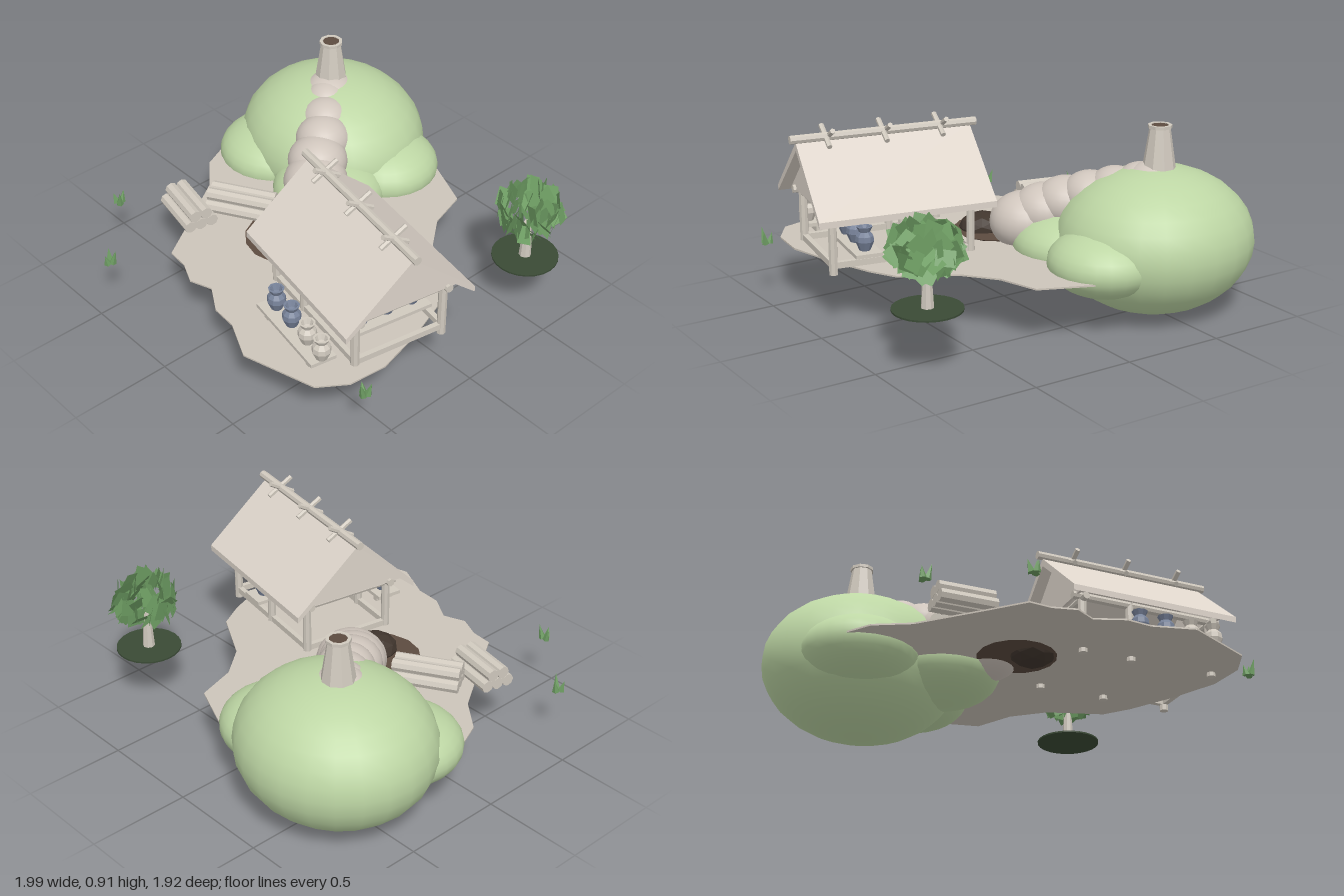
import * as THREE from 'three';

const mat = (name, color, extra = {}) => Object.assign(new THREE.MeshStandardMaterial({ color, ...extra }), { name });
const flat = { flatShading: true };
const M = {
  grass: mat('mossGreen', 0xbdd6a4),
  stone: mat('paleStone', 0xd0c6bd),
  earth: mat('packedEarth', 0xccc4b9, flat),
  wood: mat('paleWood', 0xd0c9be, flat),
  thatch: mat('thatch', 0xddd4ca, flat),
  brown: mat('darkSoil', 0x5c4b3f, flat),
  pit: mat('charcoal', 0x41362e, flat),
  blue: mat('slateClay', 0x78839a, flat),
  leaf: mat('leafGreen', 0x6d9c62, { flatShading: true, side: THREE.DoubleSide }),
  shade: mat('deepGreen', 0x3a4a35, flat),
};
const GROUND = 0.285;

let seed = 7;
const rnd = () => (seed = (seed * 16807) % 2147483647) / 2147483647;

function add(parent, name, geo, material, x = 0, y = 0, z = 0) {
  const m = new THREE.Mesh(geo, material);
  m.name = name;
  m.position.set(x, y, z);
  parent.add(m);
  return m;
}
function blob(parent, name, material, [x, y, z], [rx, ry, rz]) {
  return add(parent, name, new THREE.SphereGeometry(1, 24, 16).scale(rx, ry, rz), material, x, y, z);
}
// Round pole between two points
function pole(parent, name, a, b, r, sides = 8) {
  const p = new THREE.Vector3(...a), q = new THREE.Vector3(...b), d = q.clone().sub(p);
  const m = add(parent, name, new THREE.CylinderGeometry(r, r, d.length(), sides), M.wood);
  m.position.copy(p).add(q).multiplyScalar(0.5);
  m.quaternion.setFromUnitVectors(new THREE.Vector3(0, 1, 0), d.normalize());
  return m;
}
function group(parent, name, x = 0, y = 0, z = 0, ry = 0) {
  const g = new THREE.Group();
  g.name = name;
  g.position.set(x, y, z);
  g.rotation.y = ry;
  parent.add(g);
  return g;
}

// Irregular thin ground sheet
function buildGround(root) {
  const outline = [[0, -0.76], [0.26, -0.65], [0.32, -0.45], [0.44, -0.3], [0.69, -0.16], [0.76, -0.03],
    [0.84, 0.2], [0.9, 0.45], [0.88, 0.64], [0.79, 0.77], [0.43, 0.87], [0.24, 0.78], [0.11, 0.77], [-0.02, 0.69],
    [-0.13, 0.73], [-0.24, 0.68], [-0.35, 0.67], [-0.45, 0.51], [-0.65, 0.2], [-0.8, 0.08], [-0.87, -0.08],
    [-0.75, -0.4], [-0.4, -0.7]].map(([x, z]) => new THREE.Vector2(x, -z));
  const shape = new THREE.Shape(outline);
  shape.holes.push(new THREE.Path().absarc(-0.07, -0.17, 0.19, 0, Math.PI * 2, true));
  const geo = new THREE.ExtrudeGeometry(shape, { depth: 0.008, bevelEnabled: false, curveSegments: 8 });
  add(root, 'ground', geo.rotateX(-Math.PI / 2), M.earth, 0, GROUND - 0.004, 0);
  add(root, 'soilPatch', new THREE.CylinderGeometry(0.215, 0.2, 0.012, 14), M.brown, -0.07, GROUND + 0.004, 0.17);
  add(root, 'firePit', new THREE.IcosahedronGeometry(1, 1).scale(0.115, 0.07, 0.11), M.pit, -0.01, 0.305, 0.21);
}

// Mossy dome with side lobes, stepped tunnel and chimney
function buildDome(root) {
  const g = group(root, 'domeHouse');
  blob(g, 'dome', M.grass, [-0.515, 0.35, -0.515], [0.485, 0.35, 0.455]);
  blob(g, 'leftLobe', M.grass, [-0.67, 0.3, -0.25], [0.28, 0.16, 0.28]);
  blob(g, 'frontLobe', M.grass, [-0.23, 0.3, -0.23], [0.28, 0.16, 0.28]);
  blob(g, 'sideLobe', M.grass, [-0.18, 0.31, -0.57], [0.27, 0.16, 0.27]);
  blob(g, 'chimneyCollar', M.stone, [-0.51, 0.61, -0.49], [0.14, 0.11, 0.14]);
  const path = new THREE.CatmullRomCurve3([[-0.48, 0.61, -0.44], [-0.34, 0.55, -0.3], [-0.22, 0.47, -0.14],
    [-0.1, 0.38, -0.03]].map(p => new THREE.Vector3(...p)));
  for (let i = 0; i < 6; i++) {
    const r = 0.115 + 0.011 * i;
    blob(g, 'tunnelSegment', M.stone, path.getPoint(i / 5).toArray(), [r, r * 0.85, r]);
  }
  const chimney = [[0.085, 0], [0.05, 0.225], [0.058, 0.225], [0.058, 0.24], [0.042, 0.24], [0.042, 0.22]];
  add(g, 'chimney', new THREE.LatheGeometry(chimney.map(p => new THREE.Vector2(...p)), 9),
    M.wood, -0.53, 0.66, -0.515);
  add(g, 'chimneyOpening', new THREE.CylinderGeometry(0.045, 0.045, 0.008, 9), M.brown, -0.53, 0.893, -0.515);
}

function pot(parent, material, x, y, z) {
  const profile = [[0, 0], [0.026, 0], [0.045, 0.045], [0.042, 0.07], [0.026, 0.09], [0.038, 0.115], [0.028, 0.115],
    [0.018, 0.09], [0, 0.085]];
  add(parent, 'pot', new THREE.LatheGeometry(profile.map(p => new THREE.Vector2(...p)), 9), material, x, y, z);
}

// Open pavilion with a gabled roof
function buildHut(root) {
  const g = group(root, 'pavilion', 0.506, 0, 0.252, -0.181);
  const H = 0.432, D = 0.335;
  // Roof slopes as one bent slab
  const roof = new THREE.Shape([[-D, 0.52], [0, 0.8], [D, 0.52], [D, 0.55], [0, 0.84], [-D, 0.55]]
    .map(p => new THREE.Vector2(...p)));
  const roofGeo = new THREE.ExtrudeGeometry(roof, { depth: 2 * H, bevelEnabled: false });
  add(g, 'roof', roofGeo.translate(0, 0, -H).rotateY(Math.PI / 2), M.thatch);
  // Gable walls
  const gable = new THREE.Shape([[-0.29, 0.55], [0.29, 0.55], [0, 0.8]].map(p => new THREE.Vector2(...p)));
  for (const s of [-1, 1]) {
    const geo = new THREE.ExtrudeGeometry(gable, { depth: 0.012, bevelEnabled: false });
    add(g, 'gable', geo.translate(0, 0, -0.006).rotateY(Math.PI / 2), M.thatch, s * 0.37);
  }
  // Ridge pole with crossed sticks
  pole(g, 'ridgePole', [-0.46, 0.855, 0], [0.46, 0.855, 0], 0.021);
  for (const x of [-0.28, 0, 0.28]) for (const s of [-1, 1])
    pole(g, 'ridgeStick', [x + s * 0.008, 0.82, -s * 0.065], [x + s * 0.008, 0.895, s * 0.065], 0.013, 6);
  // Posts, wall plates and floor rails
  for (const s of [-1, 1]) {
    const z = s * 0.23;
    for (const x of [-0.34, s > 0 ? -0.09 : 0, 0.34]) pole(g, 'post', [x, 0.26, z], [x, 0.56, z], 0.021);
    pole(g, 'wallPlate', [-0.39, 0.55, z], [0.39, 0.55, z], 0.02);
    pole(g, 'tieBeam', [s * 0.34, 0.535, -0.28], [s * 0.34, 0.535, 0.28], 0.018);
    add(g, 'longRail', new THREE.BoxGeometry(0.7, 0.03, 0.025), M.wood, 0, 0.305, z);
    add(g, 'endRail', new THREE.BoxGeometry(0.025, 0.03, 0.48), M.wood, s * 0.34, 0.305, 0);
  }
  // Benches with pots
  add(g, 'frontBench', new THREE.BoxGeometry(0.48, 0.018, 0.13), M.wood, 0.06, 0.333, 0.365);
  [-0.11, 0.025, 0.16, 0.28].forEach((x, i) => pot(g, i < 2 ? M.blue : M.wood, x, 0.342, 0.365));
  add(g, 'innerBench', new THREE.BoxGeometry(0.13, 0.018, 0.42), M.wood, 0.17, 0.333, -0.04);
  for (const z of [-0.18, -0.045, 0.09]) pot(g, M.blue, 0.17, 0.342, z);
  for (const x of [-0.12, 0.24])
    add(g, 'benchLeg', new THREE.BoxGeometry(0.03, 0.04, 0.1), M.wood, x, 0.305, 0.365);
}

// Two-layer stack of logs
function buildLogs(root, x, z, ry, length) {
  const g = group(root, 'logPile', x, GROUND, z, ry);
  for (let row = 0; row < 2; row++) for (let i = 0; i < 3 - row; i++) {
    const y = 0.035 + row * 0.052, w = (i - (2 - row) / 2) * 0.058;
    pole(g, 'log', [-length / 2, y, w], [length / 2, y, w], 0.031);
  }
}

// Tree with a crown of leaf cards
function buildTree(root) {
  const g = group(root, 'tree', 0.78, GROUND, -0.58);
  add(g, 'treeBase', new THREE.CylinderGeometry(0.16, 0.16, 0.008, 24), M.shade);
  add(g, 'trunk', new THREE.CylinderGeometry(0.018, 0.03, 0.2, 8), M.wood, 0, 0.1, 0);
  for (let i = 0; i < 75; i++) {
    const a = i * 2.4, u = 1 - (2 * (i + 0.5)) / 75, r = Math.sqrt(1 - u * u), k = 0.75 + 0.25 * rnd();
    const card = add(g, 'leaf', new THREE.PlaneGeometry(0.09, 0.075), M.leaf,
      Math.cos(a) * r * 0.15 * k, 0.27 + u * 0.105 * k, Math.sin(a) * r * 0.16 * k);
    card.lookAt(card.position.x * 2, 0.27 + (card.position.y - 0.27) * 3 + 0.05, card.position.z * 2);
    card.rotateX((rnd() - 0.5) * 1.3);
    card.rotateY((rnd() - 0.5) * 1.3);
    card.rotateZ(rnd() * 3);
  }
}

// Small tufts of pointed blades
function buildTufts(root) {
  for (const [x, z] of [[-0.85, 0.61], [-0.5, 0.92], [0.96, 0.63]]) {
    const g = group(root, 'grassTuft', x, GROUND - 0.01, z, x * 3);
    for (let i = 0; i < 3; i++) {
      const a = i * 2.1, h = 0.055 + 0.012 * i;
      const blade = add(g, 'blade', new THREE.ConeGeometry(0.018, h, 5), M.leaf,
        Math.cos(a) * 0.022, h / 2, Math.sin(a) * 0.022);
      blade.rotation.set(Math.sin(a) * 0.25, 0, -Math.cos(a) * 0.25);
    }
  }
}

export function createModel() {
  const root = new THREE.Group();
  root.name = 'village';
  buildGround(root);
  buildDome(root);
  buildHut(root);
  buildLogs(root, -0.385, 0.2, 0.53, 0.33);
  buildLogs(root, -0.53, 0.42, -0.2, 0.27);
  buildTree(root);
  buildTufts(root);
  return root;
}
